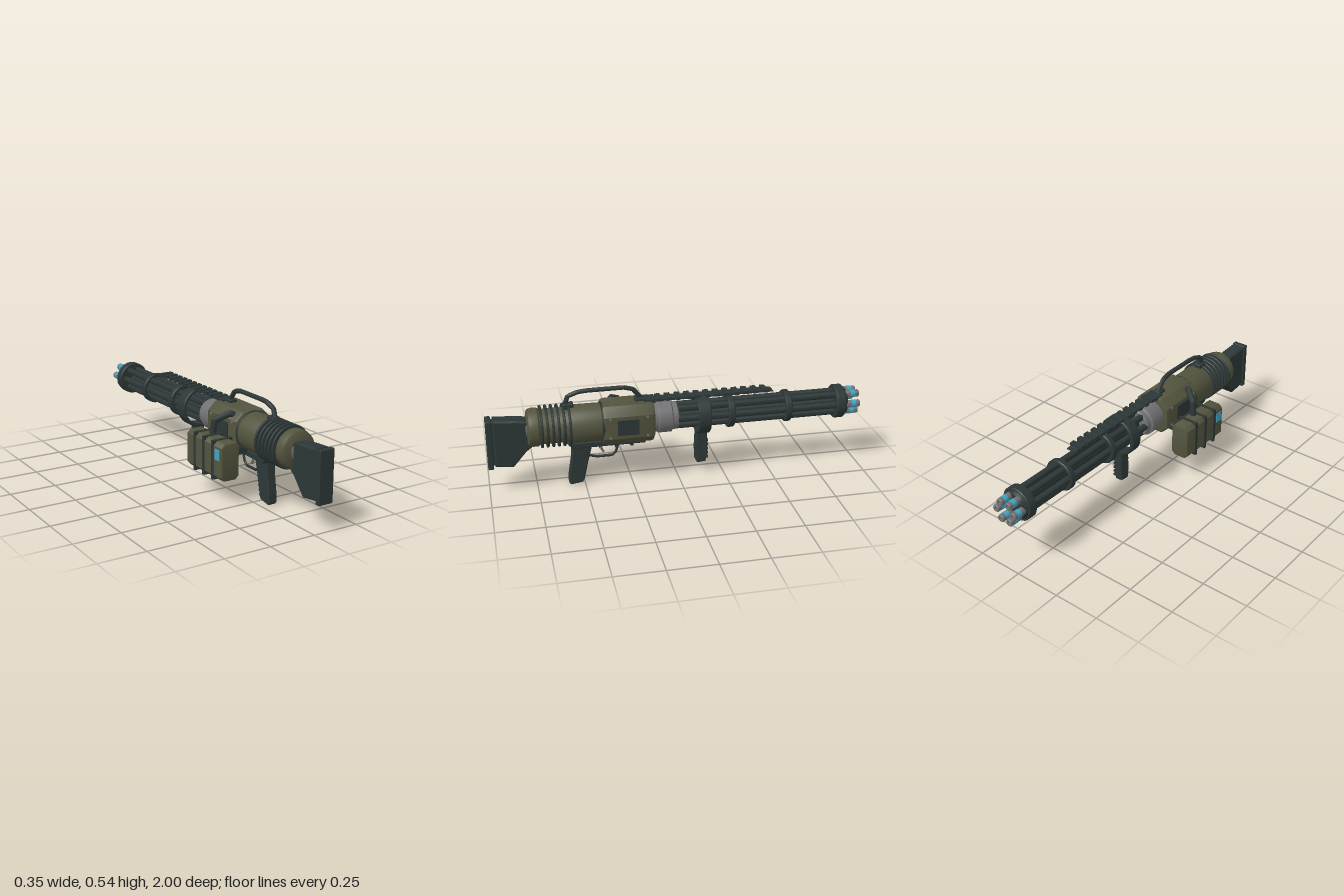
import * as THREE from 'three';
import { toCreasedNormals } from 'three/addons/utils/BufferGeometryUtils.js';
import { RoundedBoxGeometry } from 'three/addons/geometries/RoundedBoxGeometry.js';

const CX = 0.062, CY = 0.343; // barrel axis

export function createModel() {
  const mat = (name, color) => new THREE.MeshStandardMaterial({ name, color });
  const dark = mat('darkSlate', 0x2d3737);
  const olive = mat('olive', 0x53543e);
  const grey = mat('steelGrey', 0x727274);
  const cyan = mat('glowBlue', 0x3fa5c6);
  const root = new THREE.Group();
  root.name = 'rotaryGun';

  const add = (name, geo, material, x = 0, y = 0, z = 0) => {
    const mesh = new THREE.Mesh(geo, material);
    mesh.name = name;
    mesh.position.set(x, y, z);
    root.add(mesh);
    return mesh;
  };
  // Box from its min and max on each axis
  const box = (name, material, [x0, x1], [y0, y1], [z0, z1], r = 0) => add(name,
    r ? new RoundedBoxGeometry(x1 - x0, y1 - y0, z1 - z0, 2, r) : new THREE.BoxGeometry(x1 - x0, y1 - y0, z1 - z0),
    material, (x0 + x1) / 2, (y0 + y1) / 2, (z0 + z1) / 2);
  // Turned part along z from [radius, z] points, z ascending
  const turned = (name, material, pts, x = CX, y = CY, sides = 40) => {
    const g = new THREE.LatheGeometry(pts.map(([r, z]) => new THREE.Vector2(r, z)), sides).rotateX(Math.PI / 2);
    return add(name, toCreasedNormals(g, 0.6), material, x, y, 0);
  };
  const band = (name, material, ri, ro, a, b, c = 0.005) => turned(name, material,
    [[ri, a], [ro - c, a], [ro, a + c], [ro, b - c], [ro - c, b], [ri, b], [ri, a]]);
  // Side silhouette of [z, y] points, extruded across x
  const silhouette = (name, material, pts, width, bevel, x = CX) => {
    const shape = new THREE.Shape(pts.map(([z, y]) => new THREE.Vector2(z, y)));
    const depth = width - 2 * bevel;
    const g = new THREE.ExtrudeGeometry(shape, {
      depth, bevelEnabled: bevel > 0, bevelThickness: bevel, bevelSize: bevel, bevelOffset: -bevel, bevelSegments: 1,
    });
    return add(name, g.translate(0, 0, -depth / 2).rotateY(-Math.PI / 2), material, x);
  };
  // Chamfered rectangle extruded along z
  const chamferBox = (name, material, x, y, hw, hh, c, z0, z1, bevel) => {
    const s = new THREE.Shape([[-hw + c, -hh], [hw - c, -hh], [hw, -hh + c], [hw, hh - c],
      [hw - c, hh], [-hw + c, hh], [-hw, hh - c], [-hw, -hh + c]].map(([a, b]) => new THREE.Vector2(a, b)));
    const g = new THREE.ExtrudeGeometry(s, {
      depth: z1 - z0 - 2 * bevel, bevelThickness: bevel, bevelSize: bevel, bevelOffset: -bevel, bevelSegments: 2,
    });
    return add(name, toCreasedNormals(g, 0.5), material, x, y, z0 + bevel);
  };
  // Bent pipe through straight segments
  const pipe = (name, material, pts, r, sides = 8) => {
    const path = new THREE.CurvePath();
    const v = pts.map((p) => new THREE.Vector3(...p));
    for (let i = 1; i < v.length; i++) path.add(new THREE.LineCurve3(v[i - 1], v[i]));
    return add(name, new THREE.TubeGeometry(path, 40, r, sides), material);
  };

  // Six barrels with ringed muzzles
  for (let i = 0; i < 6; i++) {
    const a = i * Math.PI / 3, x = CX + 0.055 * Math.cos(a), y = CY + 0.055 * Math.sin(a);
    turned('barrel', dark, [[0, -0.93], [0.018, -0.93], [0.018, 0.03], [0, 0.03]], x, y, 16);
    turned('muzzle', grey, [[0, -0.97], [0.01, -0.97], [0.01, -1], [0.017, -1], [0.02, -0.996],
      [0.02, -0.93], [0.018, -0.92]], x, y, 16);
    turned('muzzleGlow', cyan, [[0.02, -0.978], [0.0212, -0.978], [0.0212, -0.953], [0.02, -0.953]], x, y, 16);
  }
  turned('barrelShaft', dark, [[0, -0.9], [0.02, -0.9], [0.02, 0.03], [0, 0.03]], CX, CY, 16);

  // Barrel clamps
  turned('muzzleClamp', dark, [[0, -0.932], [0.07, -0.932], [0.078, -0.916], [0.086, -0.916], [0.091, -0.911],
    [0.091, -0.871], [0.086, -0.866], [0, -0.866]]);
  band('barrelClamp', dark, 0.066, 0.086, -0.616, -0.582);
  band('barrelClamp', dark, 0.066, 0.09, -0.302, -0.267);
  band('foregripRing', dark, 0.092, 0.11, -0.167, -0.1);

  // Foregrip with ridges
  silhouette('foregrip', dark, [[-0.102, 0.24], [-0.163, 0.24], [-0.163, 0.1], [-0.155, 0.062],
    [-0.11, 0.058], [-0.1, 0.075], [-0.098, 0.15]], 0.05, 0.006);
  for (let i = 0; i < 5; i++) {
    const y = 0.085 + i * 0.024;
    box('foregripRidge', dark, [CX - 0.027, CX + 0.027], [y, y + 0.012], [-0.167, -0.105]);
  }

  // Steel collar
  turned('collar', grey, [[0, 0], [0.068, 0], [0.074, 0.006], [0.074, 0.03], [0.086, 0.038],
    [0.086, 0.105], [0.08, 0.112], [0.08, 0.15]]);

  // Top rail with cross slats
  silhouette('rail', dark, [[0.16, 0.441], [0.16, 0.451], [-0.49, 0.451], [-0.52, 0.445], [-0.52, 0.441]], 0.055, 0);
  for (let i = 0; i < 12; i++) {
    const z = 0.1 - i * 0.052;
    box('railSlat', dark, [CX - 0.037, CX + 0.037], [0.443, 0.459], [z - 0.014, z + 0.014]);
  }
  box('railFoot', dark, [CX - 0.037, CX + 0.037], [0.436, 0.456], [0.12, 0.18]);

  // Receiver, rear housing and cooling fins
  chamferBox('receiver', olive, CX, 0.342, 0.106, 0.106, 0.045, 0.132, 0.405, 0.016);
  turned('rearHousing', olive, [[0.1, 0.39], [0.101, 0.56], [0.092, 0.58], [0.092, 0.725], [0.101, 0.735],
    [0.101, 0.765], [0.096, 0.782], [0.085, 0.79], [0, 0.793]]);
  turned('rearSocket', grey, [[0.05, 0.78], [0.05, 0.797], [0, 0.797]]);
  for (let i = 0; i < 6; i++) {
    const z = 0.572 + i * 0.029;
    band('coolingFin', dark, 0.09, 0.112, z - 0.006, z + 0.006, 0.003);
  }
  band('housingSeam', dark, 0.09, 0.105, 0.395, 0.409, 0.003);

  // Dark panels and bolts on both sides of the receiver
  for (const s of [1, -1]) {
    const x = CX + s * 0.107;
    box('sidePanel', dark, [x - 0.004, x + 0.003], [0.3, 0.384], [0.22, 0.332]);
    for (const z of [0.175, 0.37]) for (const y of [0.29, 0.395]) {
      add('bolt', new THREE.CylinderGeometry(0.007, 0.007, 0.01, 8).rotateZ(Math.PI / 2), grey, x - s * 0.002, y, z);
    }
  }

  // Carrying handle
  pipe('carryHandle', dark, [[CX, 0.44, 0.595], [CX, 0.5, 0.572], [CX, 0.519, 0.52], [CX, 0.523, 0.47],
    [CX, 0.523, 0.28], [CX, 0.51, 0.232], [CX, 0.44, 0.178]], 0.0125);
  for (const z of [0.2, 0.575]) {
    box('handleMount', dark, [CX - 0.022, CX + 0.022], [0.43, 0.463], [z - 0.03, z + 0.025], 0.006);
  }

  // Lower frame, pistol grip and trigger
  silhouette('lowerFrame', dark, [[0.16, 0.25], [0.18, 0.219], [0.56, 0.219], [0.59, 0.25]], 0.098, 0.005);
  silhouette('pistolGrip', dark, [[0.46, 0.235], [0.462, 0.2], [0.48, 0.13], [0.502, 0.03], [0.512, 0.01],
    [0.575, 0], [0.585, 0.012], [0.582, 0.06], [0.568, 0.14], [0.56, 0.235]], 0.054, 0.006);
  for (let i = 0; i < 5; i++) {
    const y = 0.03 + i * 0.024;
    const m = box('gripRidge', dark, [CX - 0.029, CX + 0.029], [y, y + 0.012], [0.506 - i * 0.005, 0.573 - i * 0.004]);
    m.rotation.x = 0.12;
  }
  pipe('triggerGuard', dark, [[CX, 0.225, 0.31], [CX, 0.16, 0.33], [CX, 0.142, 0.35], [CX, 0.142, 0.43],
    [CX, 0.155, 0.48]], 0.007, 6);
  pipe('trigger', grey, [[CX, 0.225, 0.4], [CX, 0.19, 0.408], [CX, 0.165, 0.395]], 0.007, 6);

  // Shoulder stock and butt plate
  silhouette('stock', dark, [[0.77, 0.39], [0.77, 0.245], [0.8, 0.222], [0.87, 0.14], [0.962, 0.152],
    [0.962, 0.408], [0.84, 0.4]], 0.08, 0.008);
  box('stockSpacer', dark, [CX - 0.034, CX + 0.034], [0.16, 0.395], [0.955, 0.975]);
  box('buttPlate', dark, [CX - 0.042, CX + 0.042], [0.138, 0.41], [0.97, 1], 0.006);

  // Ammunition box with straps, status light, bracket and feed hose
  chamferBox('ammoBox', olive, -0.1205, 0.2255, 0.053, 0.098, 0.02, 0.143, 0.472, 0.008);
  for (const z of [0.222, 0.307, 0.392]) {
    box('ammoStrap', dark, [-0.178, -0.063], [0.123, 0.328], [z - 0.008, z + 0.008]);
  }
  box('statusLight', cyan, [-0.177, -0.17], [0.235, 0.29], [0.412, 0.455]);
  box('ammoBracket', dark, [-0.07, 0.03], [0.235, 0.273], [0.2, 0.42]);
  pipe('feedHose', dark, [[-0.107, 0.315, 0.285], [-0.099, 0.395, 0.29], [-0.035, 0.432, 0.335],
    [0.0, 0.415, 0.35]], 0.017);
  return root;
}
